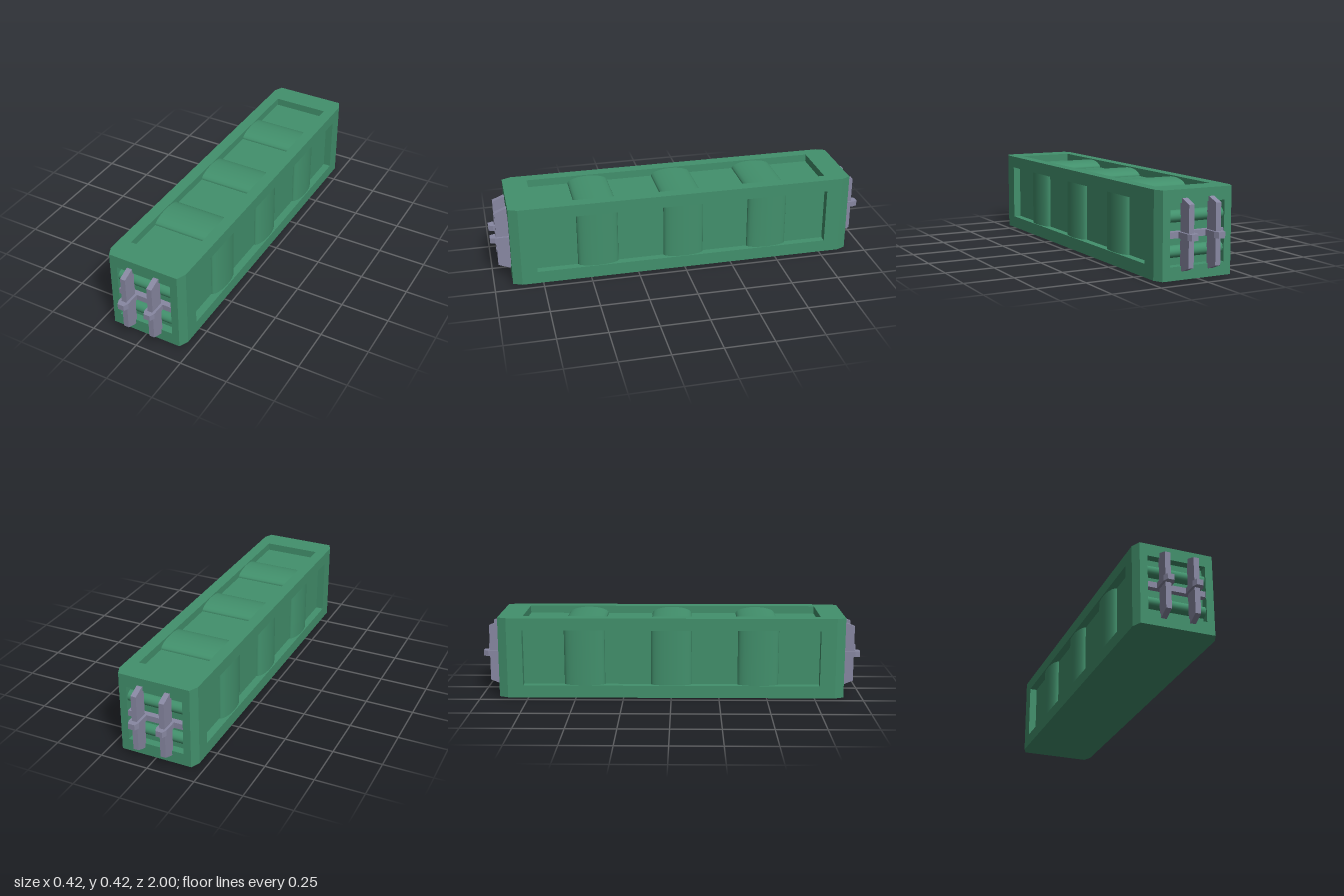
import * as THREE from 'three';

const green = new THREE.MeshStandardMaterial({ color: 0x42906c });
green.name = 'container green';
const steel = new THREE.MeshStandardMaterial({ color: 0x8888a2 });
steel.name = 'grey steel';

// Outer half sizes, wall depth and recess limits
const W = 0.208, H = 0.424, L = 0.905, D = 0.04;
const CX = 0.187, CZ = 0.858; // where the corner chamfers start
const HX = 0.148, HZ = 0.777, Y0 = 0.065, Y1 = 0.36;
const MID = (Y0 + Y1) / 2;

const polygon = (pts) => new THREE.Shape(pts.map(([x, y]) => new THREE.Vector2(x, y)));
const rect = (x0, y0, x1, y1) => polygon([[x0, y0], [x1, y0], [x1, y1], [x0, y1]]);

function extrude(shape, depth, hole) {
  if (hole) shape.holes.push(hole);
  return new THREE.ExtrudeGeometry(shape, { depth, bevelEnabled: false });
}

// Plan shape in (x, z), raised from y0 to y1
function upright(shape, y0, y1, hole) {
  return extrude(shape, y1 - y0, hole).rotateX(Math.PI / 2).translate(0, y1, 0);
}

function add(parent, name, geometry, material) {
  const mesh = new THREE.Mesh(geometry, material);
  mesh.name = name;
  parent.add(mesh);
  return mesh;
}

// Half-round corrugation running along y and bulging to +z
function ridge(length, halfWidth, height) {
  return new THREE.CylinderGeometry(1, 1, length, 12, 1, false, -Math.PI / 2, Math.PI)
    .scale(halfWidth, 1, height);
}

// One end wall with its ridges, cross bar and locking rods, facing +z
function endWall(name) {
  const g = new THREE.Group();
  g.name = name;
  const inner = W - D;
  add(g, 'endFrame', extrude(rect(-inner, 0, inner, H - D), D, rect(-HX, Y0, HX, Y1))
    .translate(0, 0, L - D), green);
  for (const y of [0.13, 0.295]) {
    add(g, 'endRidge', ridge(HX * 2, 0.029, 0.033).rotateZ(Math.PI / 2)
      .translate(0, y, L - D), green);
  }
  add(g, 'crossBar', new THREE.BoxGeometry(HX * 2, 0.03, 0.03).translate(0, 0.212, 0.886), steel);

  for (const x of [-0.073, 0.073]) {
    // Rod with slanted tips, profile in (z, y)
    const rod = polygon([[0.895, 0.042], [0.912, 0.042], [0.968, 0.065],
      [0.968, 0.36], [0.912, 0.383], [0.895, 0.383]]);
    add(g, 'lockRod', extrude(rod, 0.028).rotateY(-Math.PI / 2)
      .translate(x + 0.014, 0, 0), steel);
    // Clasp wrapped around the rod
    const clasp = polygon([[-0.027, 0.88], [0.027, 0.88], [0.027, 0.975],
      [0.017, 1], [-0.017, 1], [-0.027, 0.975]]);
    add(g, 'rodClasp', upright(clasp, 0.197, 0.227, rect(-0.0145, 0.89, 0.0145, 0.972))
      .translate(x, 0, 0), steel);
  }
  return g;
}

// One long side wall, built facing +z and then turned outward
function sideWall(name) {
  const g = new THREE.Group();
  g.name = name;
  add(g, 'sideFrame', extrude(rect(-CZ, 0, CZ, H - D), D, rect(-HZ, Y0, HZ, Y1))
    .translate(0, 0, W - D), green);
  for (const z of [-0.455, 0, 0.455]) {
    add(g, 'sideRidge', ridge(Y1 - Y0, 0.107, 0.035).translate(z, MID, W - D), green);
  }
  return g;
}

export function createModel() {
  const model = new THREE.Group();
  model.name = 'cargoContainer';

  // Recessed inner panels and floor
  add(model, 'innerBox', new THREE.BoxGeometry((W - D) * 2, H - D, (L - D) * 2)
    .translate(0, (H - D) / 2, 0), green);

  // Roof frame with chamfered corners
  const roof = polygon([[-W, -CZ], [-CX, -L], [CX, -L], [W, -CZ],
    [W, CZ], [CX, L], [-CX, L], [-W, CZ]]);
  add(model, 'roofFrame', upright(roof, H - D, H, rect(-HX, -HZ, HX, HZ)), green);
  for (const z of [-0.455, 0, 0.455]) {
    add(model, 'roofRidge', ridge(HX * 2, 0.107, 0.035).rotateZ(Math.PI / 2)
      .rotateX(-Math.PI / 2).translate(0, H - D, z), green);
  }

  // Chamfered corner posts
  for (const sx of [-1, 1]) {
    for (const sz of [-1, 1]) {
      const post = polygon([[W - D, CZ], [W, CZ], [CX, L], [W - D, L]]
        .map(([x, z]) => [x * sx, z * sz]));
      add(model, 'cornerPost', upright(post, 0, H - D), green);
    }
  }

  // Side walls
  const left = sideWall('leftWall');
  left.rotation.y = Math.PI / 2;
  const right = sideWall('rightWall');
  right.rotation.y = -Math.PI / 2;

  // End walls
  const front = endWall('frontEnd');
  const back = endWall('backEnd');
  back.rotation.y = Math.PI;

  model.add(left, right, front, back);
  return model;
}
